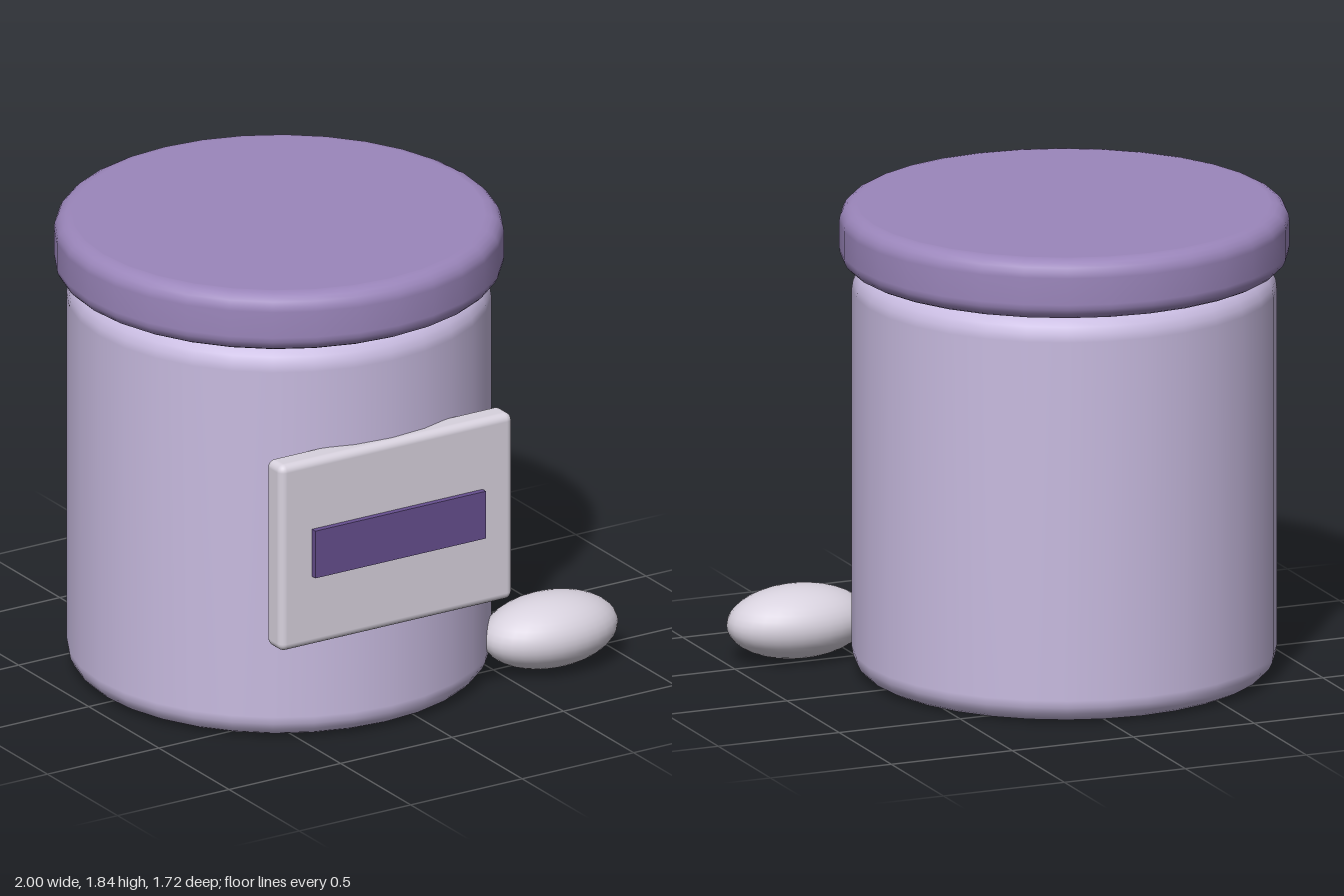
import * as THREE from 'three';
import { RoundedBoxGeometry } from 'three/addons/geometries/RoundedBoxGeometry.js';

const material = (name, color) => {
  const m = new THREE.MeshStandardMaterial({ color });
  m.name = name;
  return m;
};

// Closed disc-shaped solid with rounded top and bottom rims
function roundedCylinder(radius, y0, y1, bevelR, bevelY) {
  const points = [new THREE.Vector2(0, y0), new THREE.Vector2(radius - bevelR - 0.005, y0)];
  const steps = 5;
  for (const top of [false, true]) {
    for (let i = 0; i <= steps; i++) {
      const a = (i / steps) * Math.PI / 2;
      const out = top ? Math.cos(a) : Math.sin(a);
      const up = top ? Math.sin(a) : -Math.cos(a);
      const centreY = top ? y1 - bevelY : y0 + bevelY;
      points.push(new THREE.Vector2(radius - bevelR + bevelR * out, centreY + bevelY * up));
    }
  }
  points.push(new THREE.Vector2(radius - bevelR - 0.005, y1), new THREE.Vector2(0, y1));
  return new THREE.LatheGeometry(points, 32);
}

export function createModel() {
  const group = new THREE.Group();
  group.name = 'jar';
  const lilac = material('lilac', 0xc8bbe0);
  const purple = material('purple', 0x9b86bb);
  const paleGrey = material('pale grey', 0xd8d2de);
  const darkPurple = material('dark purple', 0x664f8e);

  const add = (name, geometry, mat, x, y, z) => {
    const mesh = new THREE.Mesh(geometry, mat);
    mesh.name = name;
    mesh.position.set(x, y, z);
    group.add(mesh);
    return mesh;
  };
  const axisX = -0.145;

  // Container and its overhanging lid
  add('body', roundedCylinder(0.807, 0, 1.6, 0.09, 0.095), lilac, axisX, 0, -0.003);
  add('lid', roundedCylinder(0.855, 1.6, 1.835, 0.065, 0.065), purple, axisX, 0, -0.003);

  // Front label with a dark stripe
  add('label', new RoundedBoxGeometry(1.045, 0.76, 0.11, 3, 0.03), paleGrey, -0.143, 0.81, 0.783);
  add('labelStripe', new THREE.BoxGeometry(0.765, 0.193, 0.028), darkPurple, -0.143, 0.812, 0.848);

  // Pebble resting beside the base
  add('pebble', new THREE.SphereGeometry(1, 32, 20), paleGrey, 0.712, 0.144, 0.565)
    .scale.set(0.284, 0.141, 0.188);

  return group;
}
